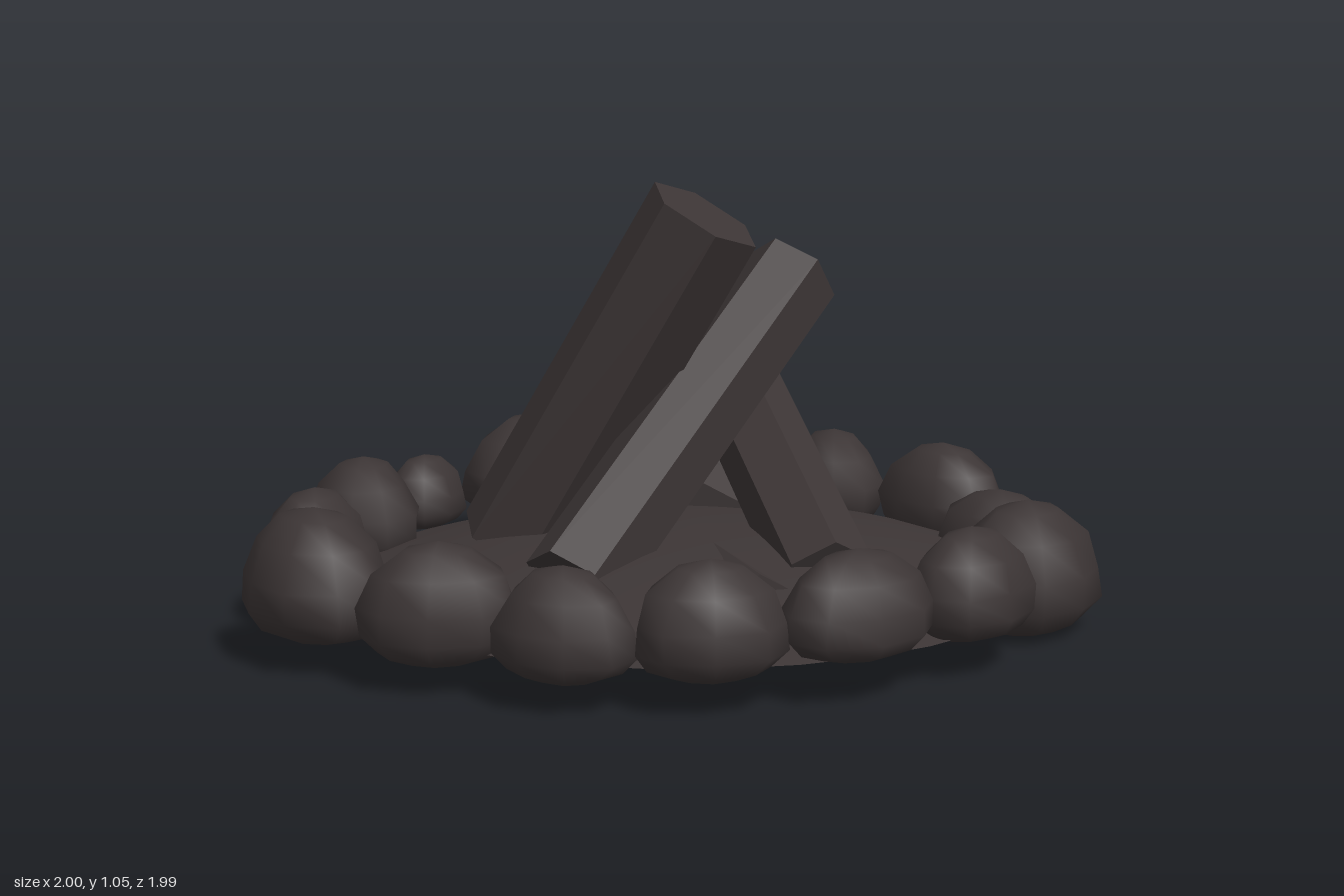
import * as THREE from 'three';
import { mergeVertices } from 'three/addons/utils/BufferGeometryUtils.js';

const charred = new THREE.MeshStandardMaterial({ color: 0x3c3535, side: THREE.DoubleSide });
charred.name = 'charred brown';

// Small seeded generator for the uneven stones
function seeded(seed) {
  return () => {
    seed = (seed * 16807) % 2147483647;
    return seed / 2147483647;
  };
}

// Rounded stone: domed top, shallow flattened underside, smooth normals
function makeStone([x, z, long, short, angle, bottom, top], index) {
  const rand = seeded(index * 977 + 31);
  const widest = bottom + (top - bottom) * 0.3;
  let geo = new THREE.SphereGeometry(1, 9, 7);
  geo.deleteAttribute('uv');
  geo.deleteAttribute('normal');
  geo = mergeVertices(geo, 1e-4);
  const p = geo.attributes.position;
  for (let i = 0; i < p.count; i++) {
    const py = p.getY(i);
    const k = 1 + (rand() - 0.5) * 0.12;
    const height = py > 0 ? py * (top - widest) : Math.max(py / 0.85, -1) * (widest - bottom);
    p.setXYZ(i, p.getX(i) * long * k, widest + height, p.getZ(i) * short * k);
  }
  geo.computeVertexNormals();
  const mesh = new THREE.Mesh(geo, charred);
  mesh.name = 'stone';
  mesh.position.set(x, 0, z);
  mesh.rotation.y = angle;
  return mesh;
}

// Six-sided log between two points, with one ridge facing up
function makeLog(name, from, to, radius) {
  const a = new THREE.Vector3(...from);
  const b = new THREE.Vector3(...to);
  const axis = b.clone().sub(a);
  const length = axis.length();
  axis.normalize();
  const ridge = new THREE.Vector3(0, 1, 0).addScaledVector(axis, -axis.y).normalize();
  const side = axis.clone().cross(ridge);
  const geo = new THREE.CylinderGeometry(radius, radius, length, 6).toNonIndexed();
  geo.computeVertexNormals();
  const mesh = new THREE.Mesh(geo, charred);
  mesh.name = name;
  mesh.quaternion.setFromRotationMatrix(new THREE.Matrix4().makeBasis(side, axis, ridge));
  mesh.position.copy(a).add(b).multiplyScalar(0.5);
  return mesh;
}

export function createModel() {
  const model = new THREE.Group();
  model.name = 'campfire';

  // Ash bed: a shallow open mound
  const mound = [];
  for (let i = 0; i <= 8; i++) {
    const t = 1 - i / 8;
    mound.push(new THREE.Vector2(0.86 * t, 0.22 - 0.14 * t * t));
  }
  const bed = new THREE.Mesh(new THREE.LatheGeometry(mound, 32), charred);
  bed.name = 'ashBed';
  model.add(bed);

  // Stone ring: x, z, half length, half width, turn, bottom, top
  const ring = new THREE.Group();
  ring.name = 'stoneRing';
  [
    [-0.19, -0.85, 0.21, 0.15, 0.1, 0.05, 0.32],
    [0.17, -0.82, 0.19, 0.13, -1.1, 0.06, 0.31],
    [0.50, -0.66, 0.195, 0.135, -0.65, 0.06, 0.32],
    [0.70, -0.40, 0.18, 0.125, -0.4, 0.04, 0.26],
    [0.83, -0.06, 0.215, 0.17, 1.4, 0.0, 0.31],
    [0.77, 0.31, 0.19, 0.13, 1.25, 0.07, 0.32],
    [0.58, 0.60, 0.20, 0.135, 0.9, 0.08, 0.32],
    [0.30, 0.79, 0.18, 0.14, 0.6, 0.06, 0.32],
    [-0.01, 0.86, 0.17, 0.135, -0.3, 0.05, 0.30],
    [-0.32, 0.80, 0.185, 0.145, 0.4, 0.05, 0.32],
    [-0.67, 0.68, 0.22, 0.16, -0.65, 0.05, 0.35],
    [-0.82, 0.34, 0.19, 0.135, -1.4, 0.05, 0.32],
    [-0.86, -0.05, 0.18, 0.14, -1.1, 0.06, 0.32],
    [-0.82, -0.36, 0.135, 0.095, 1.4, 0.08, 0.27],
    [-0.58, -0.65, 0.24, 0.17, 0.5, 0.06, 0.35],
  ].forEach((s, i) => ring.add(makeStone(s, i + 1)));
  model.add(ring);

  // Leaning and fallen logs
  model.add(
    makeLog('tallLog', [-0.43, 0.14, 0.025], [0.06, 0.97, 0.025], 0.145),
    makeLog('frontLog', [-0.15, 0.14, 0.41], [0.165, 0.78, -0.39], 0.12),
    makeLog('backLog', [0.41, 0.14, 0.19], [-0.07, 0.55, -0.54], 0.115),
    makeLog('lyingLog', [0.31, 0.11, 0.43], [-0.29, 0.13, -0.40], 0.095),
    makeLog('smallLog', [0.28, 0.07, -0.33], [-0.38, 0.40, -0.23], 0.085),
  );
  return model;
}
